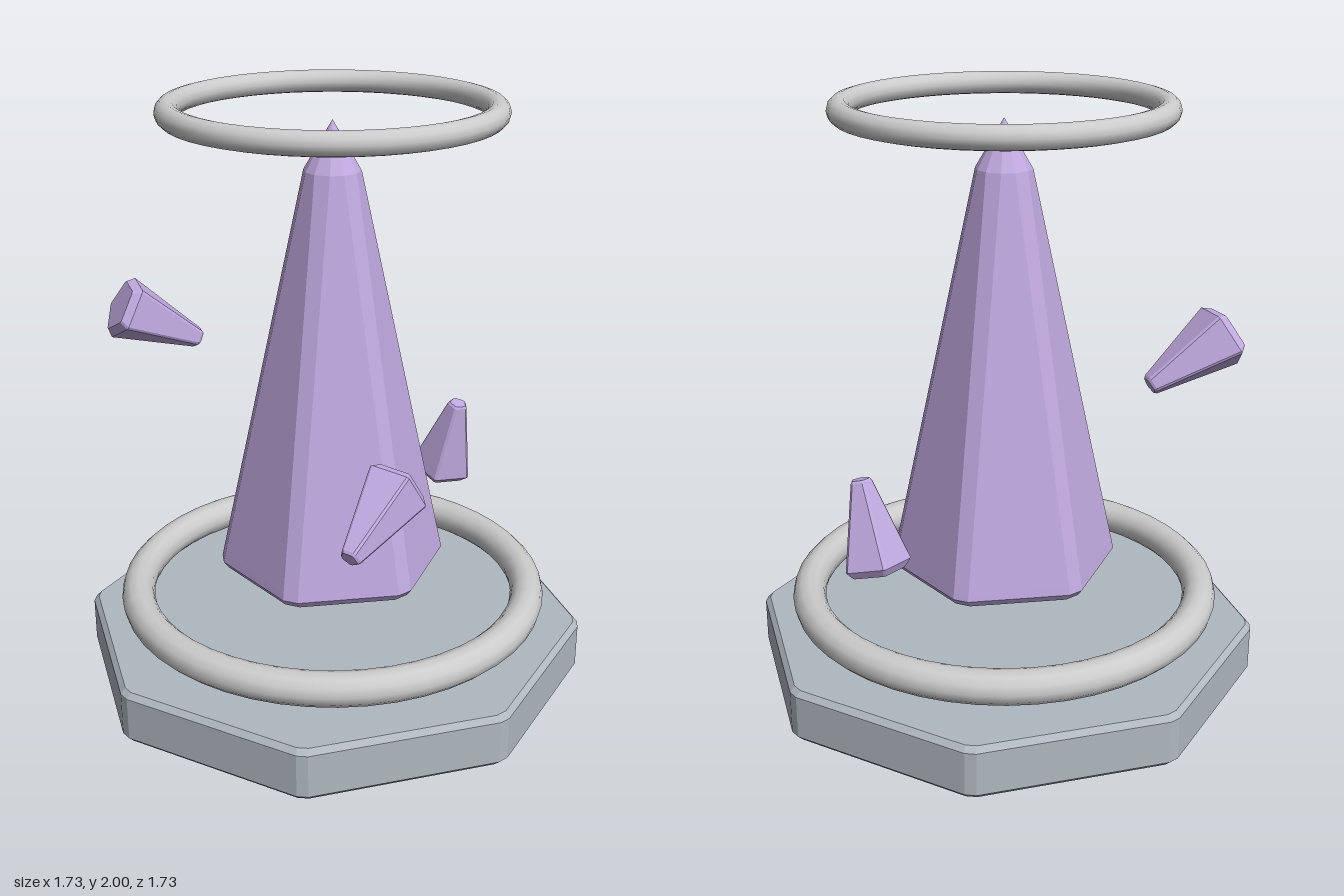
import * as THREE from 'three';

const grey = new THREE.MeshStandardMaterial({ color: 0xcccccc });
const stone = new THREE.MeshStandardMaterial({ color: 0xb0b8c0, flatShading: true });
const violet = new THREE.MeshStandardMaterial({ color: 0xc0a9e0, flatShading: true });

// Prism with chamfered upright edges; profile is [radius, y] from bottom to top.
function prism(profile, sides, chamfer) {
  const rings = profile.map(([r, y]) => {
    const corner = (i) => {
      const a = (i / sides) * Math.PI * 2;
      return new THREE.Vector3(Math.sin(a) * r, y, Math.cos(a) * r);
    };
    const cut = Math.min(chamfer, r * 0.3);
    const ring = [];
    for (let i = 0; i < sides; i++) {
      const c = corner(i);
      for (const step of [-1, 1]) {
        const dir = corner(i + step).sub(c).normalize();
        ring.push(c.clone().addScaledVector(dir, cut));
      }
    }
    return ring;
  });
  const points = [];
  const n = sides * 2;
  for (let k = 0; k + 1 < rings.length; k++) {
    for (let i = 0; i < n; i++) {
      const j = (i + 1) % n;
      const [a, b, tb, ta] = [rings[k][i], rings[k][j], rings[k + 1][j], rings[k + 1][i]];
      if (profile[k][0] > 0) points.push(a, b, tb);
      if (profile[k + 1][0] > 0) points.push(a, tb, ta);
    }
  }
  const geometry = new THREE.BufferGeometry().setFromPoints(points);
  geometry.computeVertexNormals();
  return geometry;
}

export function createModel() {
  const model = new THREE.Group();
  const add = (name, geometry, material) => {
    const mesh = new THREE.Mesh(geometry, material);
    mesh.name = name;
    model.add(mesh);
    return mesh;
  };

  // Octagonal plinth with bevelled rims
  add('base', prism([[0, 0], [0.857, 0], [0.875, 0.018], [0.875, 0.167], [0.857, 0.185], [0, 0.185]], 8, 0.02), stone);

  // Floating rings below and above the crystal
  const ring = (name, radius, tube, y) => {
    const geometry = new THREE.TorusGeometry(radius, tube, 12, 48).rotateX(Math.PI / 2);
    add(name, geometry, grey).position.y = y;
  };
  ring('lowerRing', 0.683, 0.057, 0.288);
  ring('upperRing', 0.518, 0.038, 1.962);

  // Tall six-sided crystal with a pointed cap
  add('crystal', prism([[0, 0.385], [0.38, 0.385], [0.4, 0.41], [0.395, 0.435], [0.105, 1.77], [0, 1.93]], 6, 0.03), violet);

  // Five-sided shards: centre of the wide end, centre of the tip, direction of one corner
  const shards = [
    ['rightShard', [0.565, 0.54, -0.058], [0.565, 0.835, 0.025], [1, 0, 0]],
    ['frontShard', [-0.085, 0.857, 0.435], [-0.35, 0.71, 0.515], [0, -0.1, -1]],
    ['backShard', [-0.475, 1.272, -0.56], [-0.215, 1.12, -0.475], [0, -0.1, -1]],
  ];
  for (const [name, wide, tip, corner] of shards) {
    const start = new THREE.Vector3(...wide);
    const axis = new THREE.Vector3(...tip).sub(start);
    const length = axis.length();
    axis.normalize();
    const z = new THREE.Vector3(...corner);
    z.addScaledVector(axis, -z.dot(axis)).normalize();
    const x = new THREE.Vector3().crossVectors(axis, z);
    const profile = [[0, 0], [0.093, 0], [0.116, 0.026], [0.039, length - 0.008], [0.032, length], [0, length]];
    const shard = add(name, prism(profile, 5, 0.006), violet);
    shard.quaternion.setFromRotationMatrix(new THREE.Matrix4().makeBasis(x, axis, z));
    shard.position.copy(start);
  }
  return model;
}
